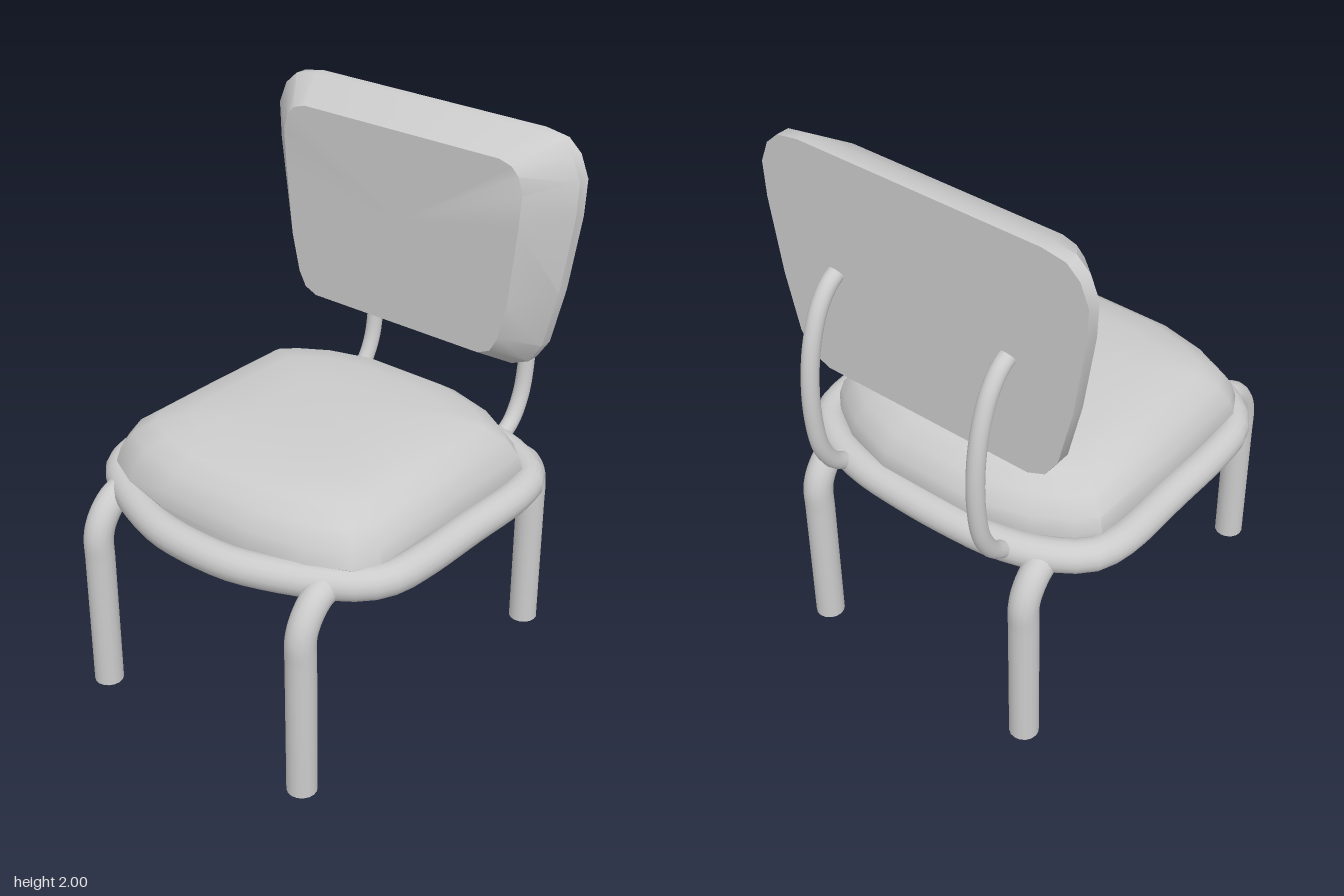
import * as THREE from 'three';
import { toCreasedNormals, mergeGeometries } from 'three/addons/utils/BufferGeometryUtils.js';

const material = new THREE.MeshStandardMaterial({ color: 0xcccccc });
const V = (x, y, z) => new THREE.Vector3(x, y, z);

// Completes a half outline (x > 0) with its mirror image, counterclockwise
const mirrored = half => [...half, ...half.slice().reverse().map(([x, v]) => [-x, v])];

// Skins a stack of equal-sized sections and closes both ends
function loft(sections, crease) {
  const n = sections[0].length;
  const pos = [];
  const tri = (...pts) => pts.forEach(p => pos.push(p.x, p.y, p.z));
  const centre = s => s.reduce((sum, p) => sum.add(p), V(0, 0, 0)).divideScalar(n);
  const first = sections[0], last = sections[sections.length - 1];
  const c0 = centre(first), c1 = centre(last);
  for (let i = 0; i < n; i++) {
    const j = (i + 1) % n;
    for (let k = 0; k < sections.length - 1; k++) {
      const a = sections[k], b = sections[k + 1];
      tri(a[i], a[j], b[j]);
      tri(a[i], b[j], b[i]);
    }
    tri(c0, first[j], first[i]);
    tri(c1, last[i], last[j]);
  }
  const geo = new THREE.BufferGeometry();
  geo.setAttribute('position', new THREE.Float32BufferAttribute(pos, 3));
  return toCreasedNormals(geo, crease);
}

// Bent bar with closed ends
function bar(points, radius, segments) {
  const curve = new THREE.CatmullRomCurve3(points);
  const parts = [new THREE.TubeGeometry(curve, segments, radius, 16)];
  for (const t of [0, 1]) {
    const dir = curve.getTangentAt(t).multiplyScalar(t ? 1 : -1);
    const cap = new THREE.CircleGeometry(radius, 16);
    cap.applyQuaternion(new THREE.Quaternion().setFromUnitVectors(V(0, 0, 1), dir));
    const p = curve.getPointAt(t);
    cap.translate(p.x, p.y, p.z);
    parts.push(cap);
  }
  return mergeGeometries(parts);
}

export function createModel() {
  const chair = new THREE.Group();
  chair.name = 'chair';
  const add = (name, geometry) => {
    const mesh = new THREE.Mesh(geometry, material);
    mesh.name = name;
    chair.add(mesh);
  };

  // Tubular seat frame, bowed at front and back
  const frame = mirrored([
    [0.1, 0.680], [0.21, 0.660], [0.42, 0.575], [0.555, 0.485], [0.605, 0.40], [0.622, 0.27],
    [0.624, 0], [0.622, -0.31], [0.585, -0.415], [0.46, -0.505], [0.3, -0.556], [0.1, -0.572],
  ]).map(([x, z]) => V(x, 0.762, z));
  add('seatFrame', new THREE.TubeGeometry(
    new THREE.CatmullRomCurve3(frame, true), 72, 0.059, 16, true));

  // Domed seat cushion, its flat underside set low inside the frame
  const underside = mirrored([
    [0.2, 0.62], [0.4, 0.54], [0.525, 0.455], [0.565, 0.39], [0.58, 0.04],
    [0.58, -0.3], [0.55, -0.385], [0.44, -0.465], [0.2, -0.525],
  ]);
  const seat = mirrored([
    [0.2, 0.635], [0.4, 0.59], [0.54, 0.52], [0.59, 0.43], [0.594, 0.04],
    [0.592, -0.36], [0.53, -0.42], [0.4, -0.50], [0.2, -0.56],
  ]);
  const dome = [[1, 0.82], [0.975, 0.875], [0.91, 0.935], [0.8, 0.98], [0.62, 1.007], [0.33, 1.02]];
  add('seatCushion', loft([
    underside.map(([x, z]) => V(x, 0.72, z)),
    ...dome.map(([s, y]) => seat.map(([x, z]) => V(x * s, y, 0.04 + (z - 0.04) * s))),
  ], 0.7));

  // Tapered backrest with a wide bevel towards the smaller front face
  const outer = mirrored([
    [0.43, 1.13], [0.5, 1.16], [0.55, 1.235], [0.603, 1.45], [0.647, 1.73],
    [0.653, 1.86], [0.62, 1.94], [0.57, 1.985], [0.48, 2.0],
  ]);
  const inner = mirrored([
    [0.37, 1.203], [0.42, 1.225], [0.45, 1.28], [0.482, 1.42], [0.51, 1.7],
    [0.518, 1.82], [0.5, 1.88], [0.47, 1.91], [0.42, 1.925],
  ]);
  const at = (outline, z) => outline.map(([x, y]) => V(x, y, z));
  add('backrest', loft([at(outer, -0.55), at(outer, -0.5), at(inner, -0.37)], 0.75));

  for (const [side, s] of [['left', 1], ['right', -1]]) {
    // Legs bending inwards into the seat frame
    for (const [end, z, d] of [['Front', 0.69, 1], ['Back', -0.62, -1]]) {
      const x = s * 0.47;
      add(`${side}${end}Leg`, bar([
        V(x, 0, z), V(x, 0.3, z), V(x, 0.52, z), V(x, 0.61, z), V(x, 0.66, z - d * 0.015),
        V(x, 0.71, z - d * 0.05), V(x, 0.741, z - d * 0.09), V(x, 0.752, z - d * 0.125),
      ], 0.053, 36));
    }
    // Curved rods carrying the backrest
    const x = s * 0.355;
    add(`${side}BackSupport`, bar([
      V(x, 1.555, -0.55), V(x, 1.53, -0.59), V(x, 1.46, -0.643), V(x, 1.34, -0.688),
      V(x, 1.19, -0.712), V(x, 1.04, -0.712), V(x, 0.91, -0.69), V(x, 0.82, -0.64),
      V(x, 0.775, -0.58),
    ], 0.031, 32));
  }
  return chair;
}
